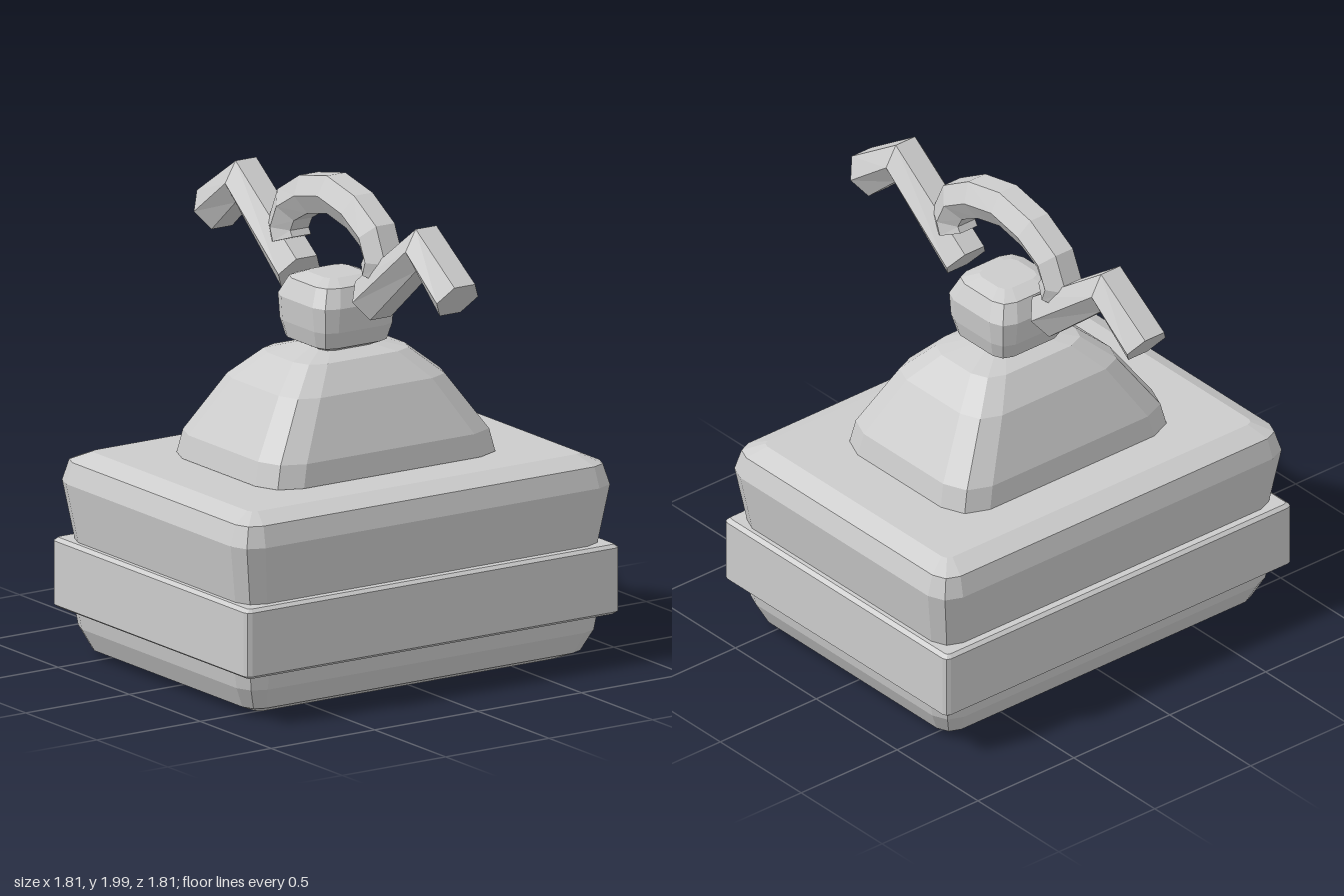
import * as THREE from 'three';

const grey = new THREE.MeshStandardMaterial({ color: 0xcccccc, flatShading: true });
grey.name = 'plain grey';

// Skin a list of equal-length rings (counterclockwise about the direction of travel) and cap both ends
function loft(name, rings) {
  const n = rings[0].length;
  const index = [];
  for (let r = 0; r < rings.length - 1; r++) {
    for (let i = 0; i < n; i++) {
      const a = r * n + i, b = r * n + (i + 1) % n;
      index.push(a, b, b + n, a, b + n, a + n);
    }
  }
  const last = (rings.length - 1) * n;
  for (let i = 1; i < n - 1; i++) {
    index.push(0, i + 1, i, last, last + i, last + i + 1);
  }
  const indexed = new THREE.BufferGeometry().setFromPoints(rings.flat());
  indexed.setIndex(index);
  const geometry = indexed.toNonIndexed();
  geometry.computeVertexNormals();
  const mesh = new THREE.Mesh(geometry, grey);
  mesh.name = name;
  return mesh;
}

// Horizontal rectangle with two-segment rounded corners
function roundedRing([y, halfW, halfD, radius]) {
  const ring = [];
  [[1, 1], [-1, 1], [-1, -1], [1, -1]].forEach(([sx, sz], corner) => {
    for (let k = 0; k <= 2; k++) {
      const a = (corner + k / 2) * Math.PI / 2;
      ring.push(new THREE.Vector3(
        sx * (halfW - radius) + radius * Math.cos(a), y,
        -sz * (halfD - radius) - radius * Math.sin(a)));
    }
  });
  return ring;
}

const stack = (name, levels) => loft(name, levels.map(roundedRing));

// Hexagonal bar following [z, y] points in the plane x = 0
function hexBar(name, path, radius) {
  const points = path.map(([z, y]) => new THREE.Vector3(0, y, z));
  return loft(name, points.map((p, i) => {
    const t = new THREE.Vector3();
    if (i > 0) t.add(p.clone().sub(points[i - 1]).normalize());
    if (i < points.length - 1) t.add(points[i + 1].clone().sub(p).normalize());
    t.normalize();
    return Array.from({ length: 6 }, (_, k) => {
      const a = k * Math.PI / 3;
      const c = radius * Math.cos(a), s = radius * Math.sin(a);
      return new THREE.Vector3(c, p.y + s * t.z, p.z - s * t.y);
    });
  }));
}

export function createModel() {
  const model = new THREE.Group();
  model.name = 'lidded box';

  // Box: [height, half width, half depth, corner radius]
  model.add(stack('base', [
    [0.005, 0.73, 0.51, 0.03],
    [0.04, 0.81, 0.59, 0.07],
    [0.13, 0.855, 0.635, 0.09],
    [0.22, 0.87, 0.65, 0.1],
  ]));
  model.add(stack('band', [
    [0.2, 0.885, 0.675, 0.015],
    [0.212, 0.903, 0.69, 0.025],
    [0.475, 0.903, 0.69, 0.025],
    [0.488, 0.885, 0.675, 0.015],
  ]));
  model.add(stack('upperBox', [
    [0.46, 0.862, 0.64, 0.09],
    [0.73, 0.907, 0.68, 0.1],
    [0.815, 0.88, 0.655, 0.08],
    [0.853, 0.8, 0.57, 0.03],
  ]));

  // Lid and its knob
  model.add(stack('dome', [
    [0.855, 0.567, 0.397, 0.14],
    [0.95, 0.545, 0.385, 0.14],
    [1.18, 0.39, 0.285, 0.12],
    [1.285, 0.27, 0.19, 0.1],
    [1.322, 0.12, 0.07, 0.05],
  ]));
  model.add(stack('knob', [
    [1.308, 0.12, 0.11, 0.04],
    [1.33, 0.165, 0.16, 0.06],
    [1.4, 0.182, 0.182, 0.07],
    [1.5, 0.19, 0.19, 0.08],
    [1.575, 0.155, 0.155, 0.07],
    [1.6, 0.095, 0.09, 0.04],
  ]));

  // Handle: an arch with a bent arm at each end
  const halfArch = [[0.315, 1.665], [0.335, 1.72], [0.29, 1.815], [0.165, 1.887]];
  const otherHalf = halfArch.map(([z, y]) => [-z, y]).reverse();
  model.add(hexBar('handleArch', [...halfArch, [0, 1.922], ...otherHalf], 0.09));

  const arm = [[0.855, 1.67], [0.635, 1.835], [0.26, 1.542]];
  for (const [name, side] of [['frontArm', 1], ['backArm', -1]]) {
    model.add(hexBar(name, arm.map(([z, y]) => [side * z, y]), 0.1));
  }
  return model;
}
